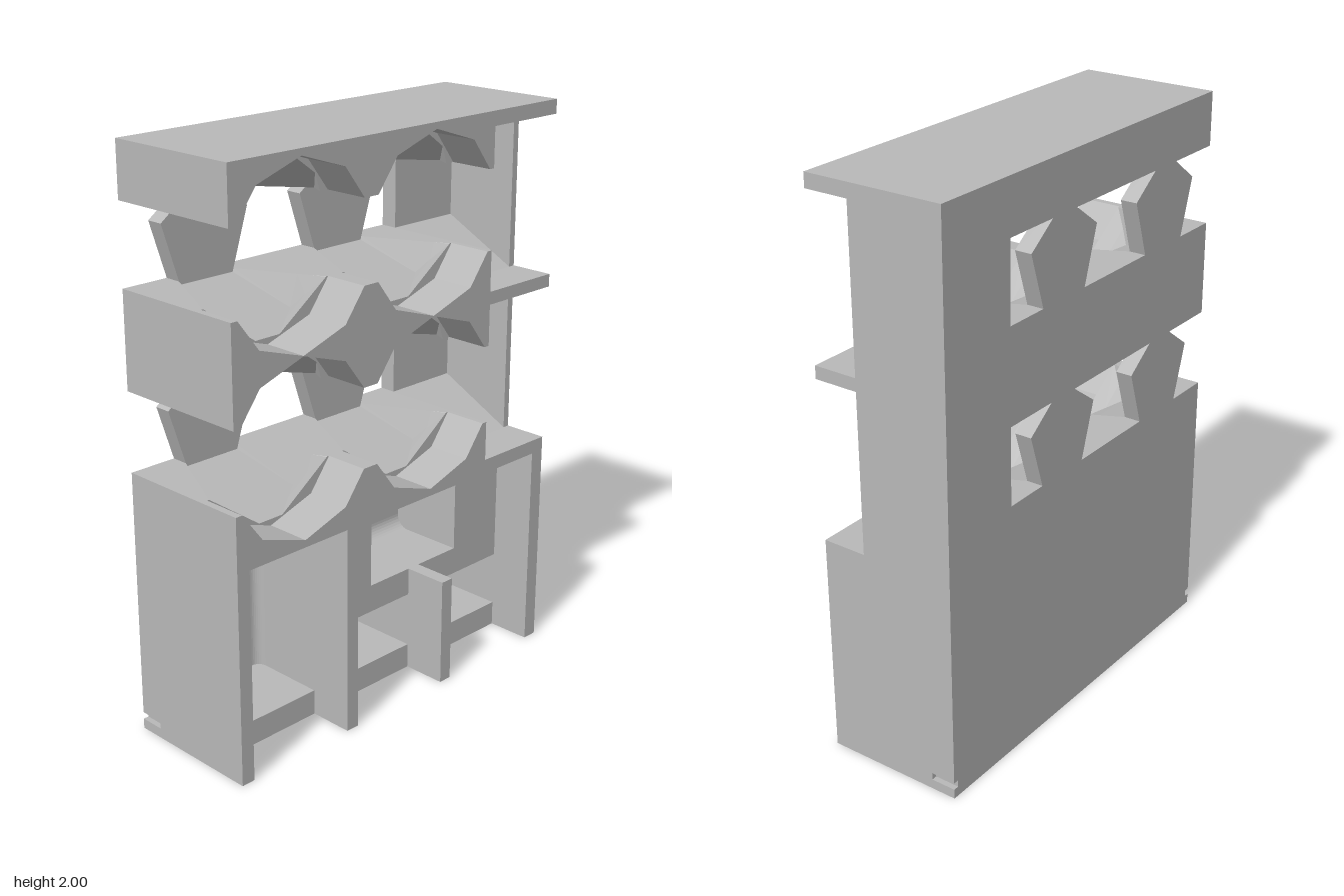
import * as THREE from 'three';

const BACK = -0.25, DISH = -0.19, STEP = 0.09, FRONT = 0.25;
const LEFT = -0.73, RIGHT = 0.73, BAY = 0.415;
const CENTRES = [-0.445, 0.135];          // cavity centres along x
const ROWS = [1.068, 1.675];              // cavity centres along y
const SLOT = 0.1375;                      // half height of the open slots

// Right half of each faceted cavity, from its middle outward, at four depths and at the front opening
const DEPTHS = [DISH, 0.005, 0.04, STEP];
const UPPER = [
  [[0, 0.184], [0.065, SLOT], [0.065, SLOT]],
  [[0, 0.298], [0.221, SLOT], [0.221, SLOT]],
  [[0.053, 0.281], [0.25, SLOT], [0.25, SLOT]],
  [[0.125, 0.257], [0.206, 0.198], [0.226, SLOT]],
  [[0, 0.303], [0.178, 0.245], [0.26, SLOT]],
];
const LOWER = [
  [[0.108, -0.149], [0.108, -0.149], [0.112, -SLOT]],
  [[0.175, -0.24], [0.175, -0.24], [0.208, -SLOT]],
  [[0.122, -0.257], [0.208, -0.195], [0.227, -SLOT]],
  [[0.05, -0.281], [0.25, -0.139], [0.252, -SLOT]],
  [[0, -0.303], [0.178, -0.245], [0.26, -SLOT]],
];

// Both cavity edges of one row, running left to right
function notches(half, cy) {
  return CENTRES.flatMap((cx) => [
    ...half.slice().reverse().map(([x, y]) => [cx - x, cy + y]),
    ...half.map(([x, y]) => [cx + x, cy + y]),
  ]);
}

// Counter-clockwise outline of a band between slots
function outline(k, rowBelow, start, right, rowAbove, end) {
  return [
    ...start,
    ...(rowBelow ? notches(UPPER[k], rowBelow) : []),
    ...right,
    ...(rowAbove ? notches(LOWER[k], rowAbove).reverse() : []),
    ...end,
  ];
}

const toShape = (pts) => new THREE.Shape(pts.map(([x, y]) => new THREE.Vector2(x, y)));

function extrude(shape, z0, z1) {
  return new THREE.ExtrudeGeometry(shape, { depth: z1 - z0, bevelEnabled: false, curveSegments: 8 }).translate(0, 0, z0);
}

// Extrude a (z, y) side profile from x0 to x1
function sideProfile(pts, x0, x1) {
  return extrude(toShape(pts.map(([z, y]) => [-z, y])), x0, x1).rotateY(Math.PI / 2);
}

// Join equal-length outlines at successive depths, closing the front
function loft(sections, depths) {
  const pos = [];
  const put = (k, i) => pos.push(sections[k][i][0], sections[k][i][1], depths[k]);
  const n = sections[0].length, last = sections.length - 1;
  for (let k = 0; k < last; k++) {
    for (let i = 0; i < n; i++) {
      const j = (i + 1) % n;
      put(k, i); put(k, j); put(k + 1, j);
      put(k, i); put(k + 1, j); put(k + 1, i);
    }
  }
  const cap = sections[last].map(([x, y]) => new THREE.Vector2(x, y));
  for (const t of THREE.ShapeUtils.triangulateShape(cap, [])) t.forEach((i) => put(last, i));
  const g = new THREE.BufferGeometry();
  g.setAttribute('position', new THREE.Float32BufferAttribute(pos, 3));
  g.computeVertexNormals();
  return g;
}

// Concave quarter-round filler; s mirrors it
function filletShape(r, s = 1) {
  const pts = [[0, 0]];
  for (let i = 0; i <= 8; i++) {
    const a = (i / 8) * Math.PI / 2;
    pts.push([s * r * (1 - Math.sin(a)), r * (1 - Math.cos(a))]);
  }
  return pts;
}

export function createModel() {
  const model = new THREE.Group();
  const grey = new THREE.MeshStandardMaterial({ color: 0xb8b8b8 });
  grey.name = 'plainGrey';
  const add = (name, geometry) => {
    const m = new THREE.Mesh(geometry, grey);
    m.name = name;
    model.add(m);
  };
  const box = (name, x0, x1, y0, y1, z0, z1) => add(name,
    new THREE.BoxGeometry(x1 - x0, y1 - y0, z1 - z0).translate((x0 + x1) / 2, (y0 + y1) / 2, (z0 + z1) / 2));

  const [r0, r1] = ROWS;
  const BASE = 0.755, SKIN = 0.71;
  const lowTop = r0 - SLOT, midBot = r0 + SLOT, midTop = r1 - SLOT, topBot = r1 + SLOT;

  // Faceted shelf bands behind the front frame
  const bands = [
    ['lowerShelf', null, BASE, lowTop, r0],
    ['middleShelf', r0, midBot, midTop, r1],
    ['topShelf', r1, topBot, 2, null],
  ];
  for (const [name, below, y0, y1, above] of bands) {
    const sections = DEPTHS.map((_, k) =>
      outline(k, below, [[LEFT, y0]], [[BAY, y0], [BAY, y1]], above, [[LEFT, y1]]));
    add(name, loft(sections, DEPTHS));
    box(name + 'Back', LEFT, BAY, y0, y1, BACK, DISH);
  }

  // Front frame with ten-sided openings
  const frames = [
    ['lowerFrame', outline(4, null,
      [[LEFT, 0], [-0.68, 0], [-0.68, 0.74], [-0.26, 0.74], [-0.26, 0], [-0.21, 0], [-0.21, 0.74],
        [0.675, 0.74], [0.675, 0], [RIGHT, 0]],
      [[RIGHT, 0.79], [BAY, 0.79], [BAY, lowTop]], r0, [[LEFT, lowTop]])],
    ['middleFrame', outline(4, r0, [[LEFT, midBot]],
      [[BAY, midBot], [BAY, 1.35], [RIGHT, 1.35], [RIGHT, 1.395], [BAY, 1.395], [BAY, midTop]], r1, [[LEFT, midTop]])],
    ['topFrame', outline(4, r1, [[LEFT, topBot]],
      [[BAY, topBot], [BAY, 1.95], [RIGHT, 1.95], [RIGHT, 2]], null, [[LEFT, 2]])],
  ];
  for (const [name, pts] of frames) add(name, extrude(toShape(pts), STEP, FRONT));

  // Pentagon posts in the back wall
  for (const cy of ROWS) {
    for (const cx of CENTRES) {
      const pts = [];
      for (let i = 0; i < 5; i++) {
        const a = Math.PI / 2 + (i * 2 * Math.PI) / 5;
        pts.push([cx + 0.184 * Math.cos(a), cy + 0.184 * Math.sin(a)]);
      }
      add('pentagonPost', extrude(toShape(pts), BACK, DISH));
    }
  }

  // Right-hand bays: back, outer wall and sloped shelves
  box('bayBack', BAY, 0.705, BASE, 2, BACK, DISH);
  box('bayWall', 0.705, RIGHT, BASE, 2, BACK, STEP);
  add('bayFloor', sideProfile([[DISH, BASE], [STEP, BASE], [STEP, 0.79], [DISH, lowTop]], BAY, 0.705));
  add('bayShelf', sideProfile([[DISH, midBot], [STEP, 1.35], [STEP, 1.395], [DISH, midTop]], BAY, 0.705));
  add('bayCeiling', sideProfile([[DISH, topBot], [STEP, 1.95], [STEP, 2], [DISH, 2]], BAY, 0.705));

  // Base cabinet with recesses
  const base = toShape([[-SKIN, 0], [SKIN, 0], [SKIN, BASE], [-SKIN, BASE]]);
  const niches = [
    [-0.675, -0.26, 0.09, 0.65], [-0.21, 0.205, 0.09, 0.29], [0.255, 0.675, 0.09, 0.29],
  ];
  const middle = [0.015, 0.445, 0.39, 0.74];
  for (const [x0, x1, y0, y1] of [...niches, middle]) {
    base.holes.push(toShape([[x0, y0], [x0, y1], [x1, y1], [x1, y0]]));
  }
  add('baseCabinet', extrude(base, DISH, STEP));
  box('baseBack', -SKIN, SKIN, 0, BASE, BACK, DISH);
  box('baseDivider', 0.205, 0.255, 0, 0.39, STEP, FRONT);

  // Rounded inner corners of the recesses
  for (const [x0, x1, y0, y1] of niches) {
    for (const [x, s] of [[x0, 1], [x1, -1]]) {
      add('roundedCorner', extrude(toShape(filletShape(0.035, s)), 0, y1 - y0)
        .rotateX(Math.PI / 2).translate(x, y1, DISH));
    }
  }
  add('roundedFloor', sideProfile(filletShape(0.05).map(([a, b]) => [DISH + a, middle[2] + b]), middle[0], middle[1]));

  // Side skins with a small groove near the lower back edge
  const skin = [[BACK, 0], [STEP, 0], [STEP, BASE], [BACK, BASE], [BACK, 0.06], [-0.16, 0.06], [-0.16, 0.035], [BACK, 0.035]];
  add('leftSkin', sideProfile(skin, SKIN, RIGHT));
  add('rightSkin', sideProfile(skin, LEFT, -SKIN));

  return model;
}
